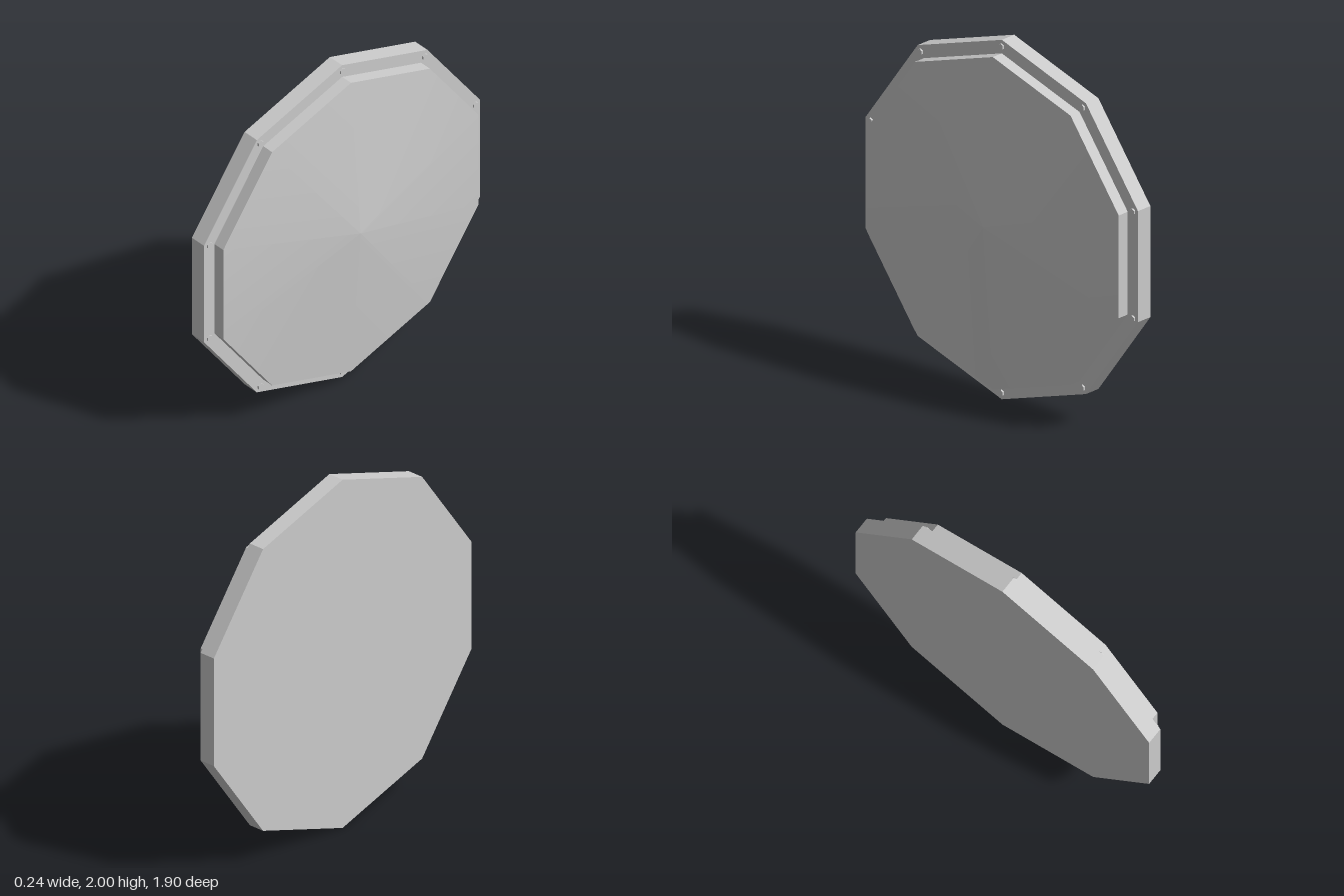
import * as THREE from 'three';

const SIDES = 10;

export function createModel() {
  const group = new THREE.Group();
  const flat = new THREE.MeshStandardMaterial({ color: 0xcccccc, flatShading: true });
  const smooth = new THREE.MeshStandardMaterial({ color: 0xcccccc });

  // Prism lying along x from x0 to x1, with a corner pointing straight up
  function addPrism(name, radius, sides, x0, x1, y = 0, z = 0) {
    const geo = new THREE.CylinderGeometry(radius, radius, x1 - x0, sides, 1, false, Math.PI / 2);
    geo.rotateZ(-Math.PI / 2);
    const mesh = new THREE.Mesh(geo, flat);
    mesh.name = name;
    mesh.position.set((x0 + x1) / 2, 1 + y, z);
    group.add(mesh);
  }

  // Backing plate and the smaller raised step on it
  addPrism('backPlate', 1, SIDES, -0.12, -0.025);
  addPrism('raisedStep', 0.925, SIDES, -0.03, 0.044);

  // Shallow pointed face
  const coneGeo = new THREE.ConeGeometry(0.925, 0.074, SIDES, 1, true, Math.PI / 2);
  coneGeo.rotateZ(-Math.PI / 2);
  const face = new THREE.Mesh(coneGeo, smooth);
  face.name = 'shallowFace';
  face.position.set(0.044 + 0.037, 1, 0);
  group.add(face);

  // One hexagonal rivet at each corner of the rim
  for (let i = 0; i < SIDES; i++) {
    const a = (i / SIDES) * Math.PI * 2;
    addPrism('rivet', 0.018, 6, -0.03, -0.015, 0.963 * Math.cos(a), 0.963 * Math.sin(a));
  }
  return group;
}
